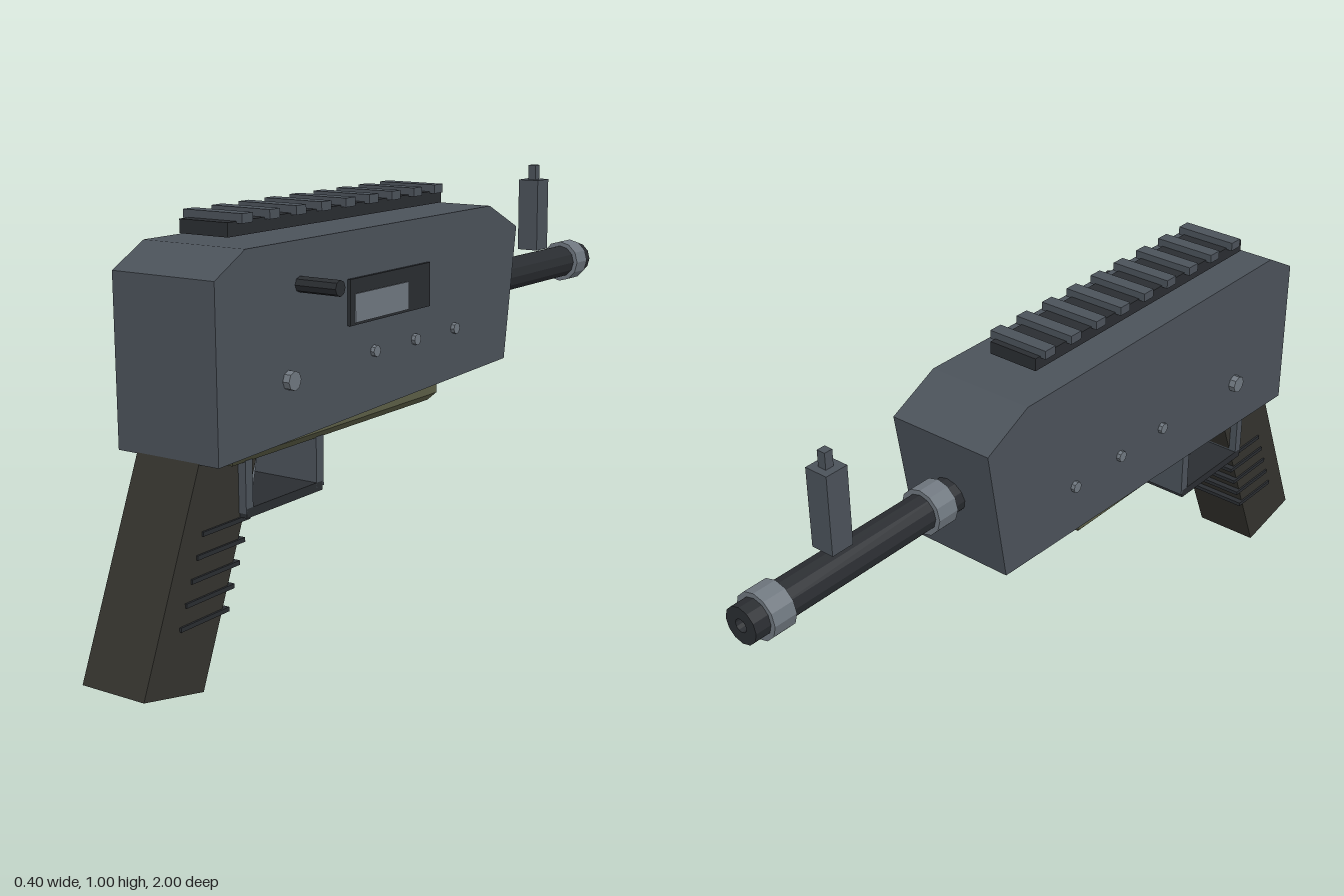
import * as THREE from 'three';

const CX = -0.046; // centre plane of the body

const paint = (color) => new THREE.MeshStandardMaterial({ color, flatShading: true });
const steel = paint(0x4b525a);
const dark = paint(0x2a2d31);
const bright = paint(0x707880);
const gripMat = paint(0x34332e);
const olive = paint(0x5c5e46);

export function createModel() {
  const group = new THREE.Group();

  function add(name, geometry, material, x = 0, y = 0, z = 0) {
    const mesh = new THREE.Mesh(geometry, material);
    mesh.name = name;
    mesh.position.set(x, y, z);
    group.add(mesh);
    return mesh;
  }

  // box given by its limits on each axis
  function box(name, material, [x0, x1], [y0, y1], [z0, z1]) {
    return add(name, new THREE.BoxGeometry(x1 - x0, y1 - y0, z1 - z0), material,
      (x0 + x1) / 2, (y0 + y1) / 2, (z0 + z1) / 2);
  }

  // side outline of [z, y] points, extruded across x
  function slab(name, material, points, width) {
    const shape = new THREE.Shape(points.map(([z, y]) => new THREE.Vector2(z, y)));
    const geometry = new THREE.ExtrudeGeometry(shape, { depth: width, bevelEnabled: false });
    geometry.translate(0, 0, -width / 2).rotateY(-Math.PI / 2);
    return add(name, geometry, material, CX);
  }

  // ring or pipe along z, with an open bore
  function pipe(name, material, outer, inner, z0, z1) {
    const profile = [[inner, z0], [outer, z0], [outer, z1], [inner, z1], [inner, z0]]
      .map(([r, z]) => new THREE.Vector2(r, z));
    const geometry = new THREE.LatheGeometry(profile, 12).rotateX(Math.PI / 2);
    return add(name, geometry, material, CX, 0.715, 0);
  }

  // Receiver
  slab('receiver', steel, [[0.81, 0.5], [0.81, 0.888], [0.71, 0.942], [-0.265, 0.942],
    [-0.4, 0.877], [-0.345, 0.537]], 0.278);

  // Barrel, bore and collars
  pipe('barrel', dark, 0.045, 0.016, -1, -0.36);
  add('boreEnd', new THREE.CircleGeometry(0.017, 12).rotateY(Math.PI), dark, CX, 0.715, -0.96);
  pipe('rearCollar', bright, 0.057, 0.04, -0.47, -0.41);
  pipe('muzzleCollar', bright, 0.057, 0.04, -0.96, -0.9);

  // Front sight
  box('sightPost', steel, [CX - 0.03, CX + 0.03], [0.77, 0.965], [-0.767, -0.707]);
  box('sightTip', steel, [CX - 0.011, CX + 0.011], [0.965, 1.005], [-0.749, -0.727]);

  // Top rail with cross teeth
  box('railBase', dark, [CX - 0.066, CX + 0.066], [0.957, 0.988], [-0.15, 0.677]);
  for (let i = 0; i < 9; i++) {
    const z = -0.115 + i * 0.093;
    box('railTooth', steel, [CX - 0.081, CX + 0.081], [0.984, 1.005], [z - 0.018, z + 0.018]);
  }

  // Ejection port, bolt and charging handle on the left side
  box('ejectionPort', dark, [0.06, 0.101], [0.728, 0.834], [0.025, 0.353]);
  box('bolt', bright, [0.06, 0.104], [0.734, 0.8], [0.12, 0.337]);
  add('chargingHandle', new THREE.CylinderGeometry(0.018, 0.018, 0.13, 8).rotateZ(Math.PI / 2),
    dark, 0.135, 0.846, 0.527);

  // Pins passing through the receiver
  for (const [z, y, r, length] of [[0.571, 0.643, 0.022, 0.312], [0.25, 0.655, 0.014, 0.298],
    [0.08, 0.655, 0.014, 0.298], [-0.096, 0.655, 0.014, 0.298]]) {
    add('pin', new THREE.CylinderGeometry(r, r, length, 8).rotateZ(Math.PI / 2), bright, CX, y, z);
  }

  // Bottom plate, lower edges drawn in
  box('bottomPlate', olive, [CX - 0.119, CX + 0.119], [0.498, 0.528], [-0.05, 0.74]);
  const plateEdge = new THREE.BoxGeometry(0.238, 0.018, 0.79);
  const p = plateEdge.attributes.position;
  for (let i = 0; i < p.count; i++) {
    if (p.getY(i) < 0) {
      p.setX(i, p.getX(i) - Math.sign(p.getX(i)) * 0.016);
      p.setZ(i, p.getZ(i) - Math.sign(p.getZ(i)) * 0.016);
    }
  }
  add('bottomPlateEdge', plateEdge, olive, CX, 0.489, 0.345);

  // Grip with ribs round the front
  slab('grip', gripMat, [[1, 0.04], [0.81, 0.502], [0.615, 0.49], [0.815, 0]], 0.172);
  for (let i = 0; i < 5; i++) {
    const y = 0.162 + i * 0.047;
    const z = 0.73 - i * 0.0195;
    box('gripRib', dark, [CX - 0.091, CX + 0.091], [y - 0.005, y + 0.005], [z, z + 0.155]);
  }

  // Trigger guard and trigger
  const guardX = [CX - 0.106, CX + 0.106];
  box('guardBottom', dark, guardX, [0.355, 0.376], [0.41, 0.682]);
  box('guardFront', steel, guardX, [0.365, 0.485], [0.405, 0.432]);
  box('guardRear', steel, guardX, [0.365, 0.485], [0.66, 0.684]);
  slab('trigger', bright, [[0.575, 0.485], [0.595, 0.39], [0.56, 0.385], [0.535, 0.485]], 0.05);

  return group;
}
